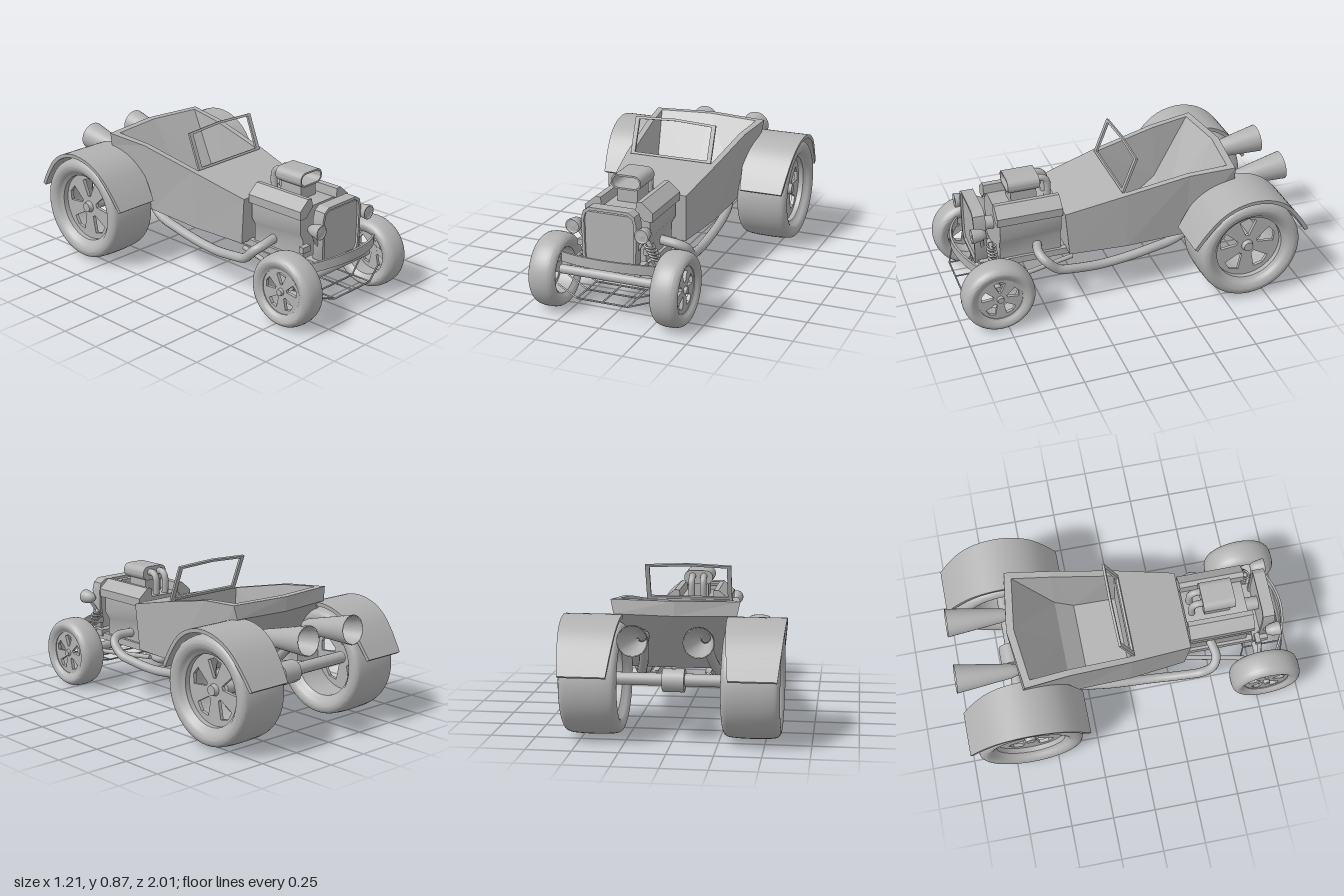
import * as THREE from 'three';
import { toCreasedNormals } from 'three/addons/utils/BufferGeometryUtils.js';

export function createModel() {
  const car = new THREE.Group();
  car.name = 'roadster';
  const grey = new THREE.MeshStandardMaterial({ color: 0xb2b2b2, side: THREE.DoubleSide });
  grey.name = 'plain grey';
  const V = (x, y, z) => new THREE.Vector3(x, y, z);

  // ---- helpers ----
  const add = (name, geo, x = 0, y = 0, z = 0, parent = car) => {
    const m = new THREE.Mesh(geo, grey);
    m.name = name;
    m.position.set(x, y, z);
    parent.add(m);
    return m;
  };
  const box = (name, w, h, d, x, y, z) => add(name, new THREE.BoxGeometry(w, h, d), x, y, z);
  const tube = (name, pts, r, n = 40) =>
    add(name, new THREE.TubeGeometry(new THREE.CatmullRomCurve3(pts), n, r, 12));
  const rod = (name, a, b, r, sides = 10) => {
    const d = b.clone().sub(a);
    const m = add(name, new THREE.CylinderGeometry(r, r, d.length(), sides));
    m.position.copy(a).addScaledVector(d, 0.5);
    m.quaternion.setFromUnitVectors(V(0, 1, 0), d.normalize());
    return m;
  };
  const poly = (pts) => new THREE.Shape(pts.map(([x, y]) => new THREE.Vector2(x, y)));
  const extrude = (shape, depth) =>
    toCreasedNormals(new THREE.ExtrudeGeometry(shape, { depth, bevelEnabled: false, curveSegments: 10 }), 0.6);
  const roundRect = (w, h, r, Type = THREE.Shape) => {
    const s = new Type(), x = w / 2 - r, y = h / 2 - r;
    s.absarc(x, y, r, 0, Math.PI / 2);
    s.absarc(-x, y, r, Math.PI / 2, Math.PI);
    s.absarc(-x, -y, r, Math.PI, Math.PI * 1.5);
    s.absarc(x, -y, r, Math.PI * 1.5, Math.PI * 2);
    s.closePath();
    return s;
  };
  const quads = (list) => {
    const p = [];
    for (const [a, b, c, d] of list) for (const v of [a, b, c, a, c, d]) p.push(...v);
    const g = new THREE.BufferGeometry();
    g.setAttribute('position', new THREE.Float32BufferAttribute(p, 3));
    g.computeVertexNormals();
    return g;
  };

  // ---- body tub: outer panels, rim and cockpit, mirrored ----
  const A = [0.235, 0.567, 0.355], B = [0.285, 0.652, 0], C = [0.32, 0.727, -0.36], D = [0.352, 0.749, -0.62];
  const a = [0.225, 0.29, 0.33], b = [0.265, 0.3, 0], c = [0.28, 0.32, -0.35], d = [0.335, 0.67, -0.63];
  const R = [0, 0.752, -0.665], r = [0, 0.67, -0.665];
  const iB = [0.25, 0.652, 0], iC = [0.283, 0.727, -0.36], iD = [0.308, 0.749, -0.585], iR = [0, 0.752, -0.622];
  const fB = [0.235, 0.33, 0], fC = [0.24, 0.33, -0.25], sC = [0.25, 0.41, -0.36];
  const mid = (p) => [0, p[1], p[2]];
  const half = [
    [A, a, b, B], [B, b, c, C], [C, c, d, D], [D, d, r, R], [d, c, mid(c), r],
    [c, b, mid(b), mid(c)], [b, a, mid(a), mid(b)], [a, A, mid(A), mid(a)], [A, B, mid(B), mid(A)],
    [B, C, iC, iB], [C, D, iD, iC], [D, R, iR, iD],
    [iB, iC, sC, fC], [iB, fC, fB, iB], [iC, iD, sC, sC], [iD, iR, mid(sC), sC],
    [sC, mid(sC), mid(fC), fC], [fC, mid(fC), mid(fB), fB], [fB, mid(fB), mid(B), iB],
  ];
  const flip = (p) => [-p[0], p[1], p[2]];
  add('bodyTub', quads([...half.map((q) => [...q].reverse()), ...half.map((q) => q.map(flip))]));

  // ---- windscreen frame, leaning back ----
  const frame = poly([[-0.25, 0], [0.25, 0], [0.25, 0.22], [0, 0.232], [-0.25, 0.22]]);
  frame.holes.push(new THREE.Path(
    [[-0.225, 0.014], [-0.225, 0.207], [0, 0.218], [0.225, 0.207], [0.225, 0.014]].map((p) => new THREE.Vector2(...p))));
  add('windscreenFrame', extrude(frame, 0.014), 0, 0.65, 0.01).rotation.x = -0.37;

  // ---- engine block and heads ----
  add('engineBlock', extrude(poly([[-0.15, 0.29], [0.15, 0.29], [0.15, 0.4], [0.175, 0.445], [0.175, 0.55],
    [0.1, 0.59], [-0.1, 0.59], [-0.175, 0.55], [-0.175, 0.445], [-0.15, 0.4]]), 0.36), 0, 0, 0.36);
  for (const s of [1, -1]) {
    add('valveCover', extrude(poly([[0.1, 0.59], [0.105, 0.642], [0.135, 0.645], [0.2, 0.59], [0.197, 0.54], [0.15, 0.54]]
      .map(([x, y]) => [s * x, y])), 0.38), 0, 0, 0.358);
    tube('intakePipe', [V(s * 0.035, 0.715, 0.47), V(s * 0.035, 0.713, 0.425), V(s * 0.035, 0.69, 0.402),
      V(s * 0.035, 0.58, 0.4)], 0.02, 24);
  }
  // air scoop with an open mouth
  const scoop = roundRect(0.176, 0.084, 0.04);
  scoop.holes.push(roundRect(0.156, 0.064, 0.03, THREE.Path));
  add('airScoop', extrude(scoop, 0.17), 0, 0.707, 0.47);
  add('airScoopBack', extrude(roundRect(0.176, 0.084, 0.04), 0.015), 0, 0.707, 0.455);
  box('scoopNeck', 0.12, 0.1, 0.15, 0, 0.62, 0.545);
  add('gearbox', new THREE.CylinderGeometry(0.1, 0.045, 0.08, 8), 0, 0.265, 0.5);

  // ---- radiator ----
  const shell = poly([[-0.13, 0.29], [0.13, 0.29], [0.155, 0.33], [0.16, 0.56], [0.148, 0.605], [0.115, 0.628],
    [-0.115, 0.628], [-0.148, 0.605], [-0.16, 0.56], [-0.155, 0.33]]);
  shell.holes.push(new THREE.Path([[-0.12, 0.305], [-0.14, 0.34], [-0.145, 0.555], [-0.135, 0.592], [-0.108, 0.612],
    [0.108, 0.612], [0.135, 0.592], [0.145, 0.555], [0.14, 0.34], [0.12, 0.305]].map((p) => new THREE.Vector2(...p))));
  add('radiatorShell', extrude(shell, 0.07), 0, 0, 0.795);
  box('radiatorCore', 0.285, 0.29, 0.045, 0, 0.455, 0.83);
  rod('fanShaft', V(0, 0.46, 0.7), V(0, 0.46, 0.81), 0.04, 16);
  box('frontCrossMember', 0.36, 0.04, 0.09, 0, 0.3, 0.8);

  // ---- curved front bumper band ----
  const band = new THREE.BoxGeometry(0.56, 0.055, 0.014, 16, 1, 1);
  const bp = band.attributes.position;
  for (let i = 0; i < bp.count; i++) {
    const k = (bp.getX(i) / 0.28) ** 2;
    bp.setY(i, bp.getY(i) + 0.35 - 0.025 * k);
    bp.setZ(i, bp.getZ(i) + 0.957 - 0.09 * k);
  }
  band.computeVertexNormals();
  add('frontBumper', toCreasedNormals(band, 0.6));

  // ---- wheels ----
  const wheel = (name, x, y, z, R, h, rim, flat) => {
    const g = new THREE.Group();
    g.name = name;
    g.position.set(x, y, z);
    g.rotation.y = x < 0 ? Math.PI : 0;
    car.add(g);
    const e = R - rim;
    const side = [[rim, 0.8], [rim + e * 0.2, 0.93], [rim + e * 0.55, 1], [R - e * 0.12, (1 + flat) / 2 + 0.06], [R, flat]];
    const outline = new THREE.CatmullRomCurve3([...side.map(([q, t]) => V(q, -t * h, 0)),
      ...side.reverse().map(([q, t]) => V(q, t * h, 0))]).getPoints(40).map((p) => new THREE.Vector2(p.x, p.y));
    const parts = [['tyre', new THREE.LatheGeometry(outline, 48)],
      ['rimBarrel', new THREE.LatheGeometry([[rim, -0.8 * h], [rim * 0.93, -0.7 * h], [rim * 0.93, 0.72 * h], [rim, 0.8 * h]]
        .map((p) => new THREE.Vector2(...p)), 48)],
      ['hubCap', new THREE.CylinderGeometry(rim * 0.13, rim * 0.18, 0.04, 16)]];
    parts.forEach(([n, geo], i) => {
      add(n, toCreasedNormals(geo, 0.6), i === 2 ? h * 0.5 + 0.01 : 0, 0, 0, g).rotation.z = -Math.PI / 2;
    });
    // disc pierced by five flared slots
    const disc = new THREE.Shape().absarc(0, 0, rim * 0.94, 0, Math.PI * 2);
    for (let i = 0; i < 5; i++) {
      const t = Math.PI / 2 + (i * Math.PI * 2) / 5;
      disc.holes.push(new THREE.Path([[0.3, -0.16], [0.76, -0.32], [0.82, 0], [0.76, 0.32], [0.3, 0.16]]
        .map(([q, w]) => new THREE.Vector2(Math.cos(t + w) * q * rim, Math.sin(t + w) * q * rim))));
    }
    add('wheelDisc', new THREE.ExtrudeGeometry(disc, { depth: 0.02, bevelEnabled: false, curveSegments: 32 }),
      h * 0.4, 0, 0, g).rotation.y = Math.PI / 2;
  };

  // rear fender outline, as z and y
  const arc = new THREE.SplineCurve([[-0.295, 0.4], [-0.36, 0.5], [-0.44, 0.592], [-0.535, 0.648], [-0.645, 0.668],
    [-0.755, 0.648], [-0.85, 0.592], [-0.93, 0.5], [-0.995, 0.4]].map((p) => new THREE.Vector2(...p)));
  const outer = arc.getPoints(32);
  const inner = outer.map((p, i) => {
    const t = arc.getTangent(i / 32);
    return new THREE.Vector2(p.x + t.y * -0.022, p.y + t.x * 0.022);
  });

  for (const s of [1, -1]) {
    wheel('frontWheel', s * 0.356, 0.21, 0.793, 0.207, 0.078, 0.138, 0.35);
    wheel('rearWheel', s * 0.43, 0.322, -0.645, 0.304, 0.156, 0.215, 0.72);

    const fender = new THREE.ExtrudeGeometry(new THREE.Shape([...outer, ...inner.reverse()]), { depth: 1, bevelEnabled: false });
    inner.reverse();
    const p = fender.attributes.position;
    for (let i = 0; i < p.count; i++) {
      const z = p.getX(i), y = p.getY(i), k = p.getZ(i), drop = 0.668 - y;
      p.setXYZ(i, s * ((0.285 + 0.12 * drop) * (1 - k) + (0.605 - 0.11 * drop) * k), y, z);
    }
    // keep faces outward on the side where the swap of axes reverses them
    if (s > 0) for (let i = 0; i < p.count; i += 3) {
      const q = V().fromBufferAttribute(p, i + 1), w = V().fromBufferAttribute(p, i + 2);
      p.setXYZ(i + 1, w.x, w.y, w.z);
      p.setXYZ(i + 2, q.x, q.y, q.z);
    }
    fender.computeVertexNormals();
    add('rearFender', toCreasedNormals(fender, 0.6));

    // exhaust pipe and flared trumpet
    tube('exhaustPipe', [V(s * 0.14, 0.35, 0.5), V(s * 0.24, 0.345, 0.515), V(s * 0.29, 0.32, 0.49), V(s * 0.295, 0.255, 0.42),
      V(s * 0.285, 0.232, 0.32), V(s * 0.265, 0.212, 0.14), V(s * 0.255, 0.245, -0.15), V(s * 0.23, 0.28, -0.34),
      V(s * 0.19, 0.4, -0.5), V(s * 0.172, 0.53, -0.63), V(s * 0.172, 0.565, -0.7)], 0.027, 80);
    const horn = add('exhaustTrumpet', new THREE.LatheGeometry([[0.028, 0], [0.042, 0.04], [0.06, 0.18], [0.083, 0.36],
      [0.076, 0.36], [0.05, 0.17], [0.025, 0.03]].map((q) => new THREE.Vector2(...q)), 28), s * 0.172, 0.555, -0.64);
    horn.rotation.x = -Math.PI / 2 + 0.12;

    // headlamp on its bracket
    const lamp = add('headlamp', new THREE.LatheGeometry([[0, 0], [0.022, 0.004], [0.034, 0.03], [0.042, 0.075], [0.042, 0.085],
      [0.034, 0.085], [0.032, 0.078], [0, 0.084]].map((q) => new THREE.Vector2(...q)), 24), s * 0.2, 0.517, 0.805);
    lamp.rotation.x = Math.PI / 2;
    rod('headlampBracket', V(s * 0.2, 0.49, 0.83), V(s * 0.15, 0.41, 0.82), 0.01);

    // chassis rail, arms and steering links
    box('chassisRail', 0.035, 0.04, 1.2, s * 0.15, 0.28, 0.24);
    rod('rearArm', V(s * 0.15, 0.28, -0.33), V(s * 0.22, 0.322, -0.64), 0.017);
    rod('radiusArm', V(s * 0.17, 0.24, 0.3), V(s * 0.26, 0.21, 0.77), 0.014);
    rod('steeringLink', V(s * 0.29, 0.23, 0.77), V(s * 0.2, 0.33, 0.79), 0.012);
    box('shockMount', 0.06, 0.035, 0.03, s * 0.195, 0.385, 0.77);
  }

  // ---- axles ----
  rod('frontAxle', V(-0.33, 0.21, 0.785), V(0.33, 0.21, 0.785), 0.026, 16);
  rod('rearAxle', V(-0.46, 0.322, -0.66), V(0.46, 0.322, -0.66), 0.035, 16);
  rod('differential', V(-0.06, 0.322, -0.67), V(0.06, 0.322, -0.67), 0.065, 10);
  rod('driveshaft', V(0, 0.28, -0.3), V(0, 0.315, -0.63), 0.022, 12);

  // ---- coil spring on the left front corner ----
  const coil = [];
  for (let i = 0; i <= 50; i++) {
    const t = (i / 50) * Math.PI * 10;
    coil.push(V(0.238 - i * 0.0009 + Math.cos(t) * 0.025, 0.355 + i * 0.0016, 0.78 + Math.sin(t) * 0.025));
  }
  tube('coilSpring', coil, 0.006, 120);
  rod('damper', V(0.25, 0.32, 0.78), V(0.188, 0.45, 0.78), 0.013);

  // ---- thin guard grid under the nose ----
  const wire = (z0, z1) => {
    const pts = [V(-0.29, 0.17, z0), V(-0.15, 0.134, z1), V(0.15, 0.134, z1), V(0.29, 0.17, z0)];
    pts.slice(1).forEach((q, i) => rod('guardWire', pts[i], q, 0.005, 6));
  };
  wire(0.9, 0.955);
  wire(0.77, 0.83);
  wire(0.645, 0.715);
  for (const x of [-0.15, 0, 0.15]) rod('guardRod', V(x, 0.134, 0.715), V(x, 0.134, 0.955), 0.005, 6);

  return car;
}
